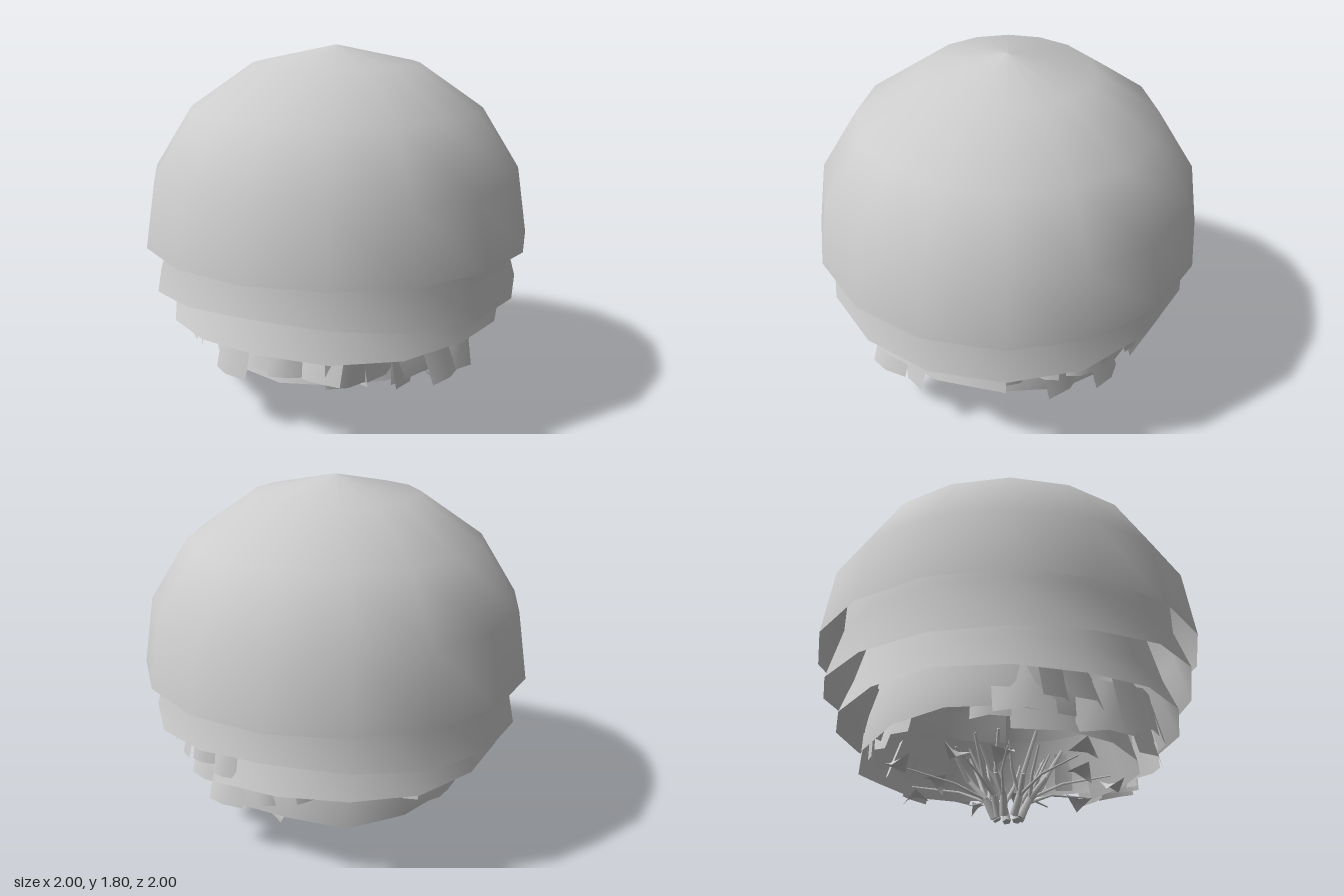
import * as THREE from 'three';

const foliage = new THREE.MeshStandardMaterial({ color: 0xcccccc, side: THREE.DoubleSide });
foliage.name = 'plain grey';

const STEP = Math.PI / 8; // sixteen sides per full turn

function makeRandom(seed) {
  let s = seed;
  return () => {
    s = (s * 16807) % 2147483647;
    return s / 2147483647;
  };
}

// Open shell of revolution; segment 0 faces the front. hem() gives the lower edge height.
function shell(name, profile, first, count, hem) {
  const pts = profile.map(([r, y]) => new THREE.Vector2(r, y));
  const geo = new THREE.LatheGeometry(pts, count, first * STEP, count * STEP);
  if (hem) {
    const pos = geo.attributes.position;
    for (let i = 0; i <= count; i++) pos.setY(i * pts.length, hem(first + i));
  }
  const mesh = new THREE.Mesh(geo, foliage);
  mesh.name = name;
  return mesh;
}

// Hanging leaf strip, turned about the vertical and leaned outward
function flap(name, phi, r, top, width, height, twist, lean) {
  const geo = new THREE.PlaneGeometry(width, height, 2, 1);
  const pos = geo.attributes.position;
  for (let i = 0; i < pos.count; i++) pos.setZ(i, -Math.abs(pos.getX(i)) * 0.3);
  geo.translate(0, -height / 2, 0);
  geo.computeVertexNormals();
  const mesh = new THREE.Mesh(geo, foliage);
  mesh.name = name;
  mesh.position.set(r * Math.sin(phi), top, r * Math.cos(phi));
  mesh.rotation.set(lean, phi + twist, 0, 'YXZ');
  return mesh;
}

// Tapered twig running through a list of points
function twig(name, points, r0, r1) {
  const group = new THREE.Group();
  group.name = name;
  const n = points.length - 1;
  for (let i = 0; i < n; i++) {
    const dir = points[i + 1].clone().sub(points[i]);
    const a = THREE.MathUtils.lerp(r0, r1, i / n);
    const b = THREE.MathUtils.lerp(r0, r1, (i + 1) / n);
    const mesh = new THREE.Mesh(new THREE.CylinderGeometry(b, a, dir.length(), 5), foliage);
    mesh.name = name + 'Segment';
    mesh.position.copy(points[i]).addScaledVector(dir, 0.5);
    mesh.quaternion.setFromUnitVectors(new THREE.Vector3(0, 1, 0), dir.normalize());
    group.add(mesh);
  }
  return group;
}

const polar = (phi, r, y) => new THREE.Vector3(r * Math.sin(phi), y, r * Math.cos(phi));

export function createModel() {
  const model = new THREE.Group();
  model.name = 'shrub';
  const rand = makeRandom(4217);
  const spread = (a, b) => a + (b - a) * rand();

  // Outer crown and the slightly smaller crown nested in it
  model.add(shell('outerCrown',
    [[1, 0.82], [0.945, 1.165], [0.75, 1.475], [0.425, 1.7], [0, 1.79]], 0, 16));
  model.add(shell('innerCrown',
    [[0.955, 0.58], [0.88, 0.85], [0.87, 1.14], [0.7, 1.44], [0.4, 1.66], [0, 1.75]], 0, 16,
    (i) => 0.575 + 0.075 * Math.abs(Math.cos(i * STEP)) ** 5));

  // Middle skirt, with a gap on the back left
  model.add(shell('middleSkirt',
    [[0.875, 0.44], [0.81, 0.6], [0.74, 0.85]], 7, 14,
    (i) => 0.435 + 0.012 * Math.sin(i * 1.7)));
  for (let i = 0; i < 5; i++) {
    model.add(flap('gapStrip', (5.1 + i * 0.5) * STEP, 0.83, 0.66,
      0.13, spread(0.15, 0.23), spread(-0.7, 0.7), -0.2));
  }

  // Lower skirt, open towards the front
  const lowerHem = [0.26, 0.22, 0.25, 0.29, 0.31, 0.3, 0.27, 0.25];
  model.add(shell('lowerSkirt',
    [[0.745, 0.27], [0.735, 0.42], [0.68, 0.62]], 2, 12,
    (i) => lowerHem[i % 8]));

  // Low inner fringe behind it
  model.add(shell('frontFringe',
    [[0.66, 0.21], [0.63, 0.32], [0.58, 0.5]], -3, 6,
    (i) => 0.215 + 0.02 * Math.abs(Math.sin(i * 2.3))));

  // Ragged strips all around, denser at the front
  for (let i = 0; i < 14; i++) {
    const phi = (i / 13 - 0.5) * 2.6;
    model.add(flap('frontStrip', phi, spread(0.68, 0.76), spread(0.5, 0.56),
      spread(0.16, 0.3), spread(0.2, 0.28), spread(-0.8, 0.8), spread(-0.4, -0.05)));
  }
  for (let i = 0; i < 12; i++) {
    const phi = 1.4 + (i / 11) * 3.5;
    model.add(flap('backStrip', phi, spread(0.66, 0.74), spread(0.48, 0.58),
      spread(0.12, 0.24), spread(0.16, 0.24), spread(-0.9, 0.9), spread(-0.35, 0)));
  }

  // Stems splaying from the ground, each with a fork and a low side twig
  for (let i = 0; i < 9; i++) {
    const phi = (i + spread(-0.25, 0.25)) * Math.PI * 2 / 9;
    const base = polar(phi, 0.065, 0);
    const knee = polar(phi + 0.1, 0.11, 0.09);
    const fork = polar(phi, spread(0.16, 0.2), 0.18);
    model.add(twig('stem', [base, knee, fork,
      polar(phi + 0.15, spread(0.24, 0.3), spread(0.3, 0.38))], 0.022, 0.008));
    model.add(twig('forkTwig', [knee, polar(phi - 0.3, 0.15, 0.2),
      polar(phi - 0.4, 0.21, 0.33)], 0.012, 0.005));
    model.add(twig('sideTwig', [knee, polar(phi + 0.2, 0.27, 0.16),
      polar(phi + 0.3, spread(0.48, 0.6), 0.205)], 0.009, 0.004));
  }

  // Small curled leaves under the crown
  for (let i = 0; i < 11; i++) {
    const geo = new THREE.PlaneGeometry(0.1, 0.1, 2, 2);
    const pos = geo.attributes.position;
    for (let k = 0; k < pos.count; k++) pos.setZ(k, 12 * pos.getX(k) * pos.getY(k));
    geo.computeVertexNormals();
    const leaf = new THREE.Mesh(geo, foliage);
    leaf.name = 'lowLeaf';
    const phi = (i + spread(-0.2, 0.2)) * Math.PI * 2 / 11;
    leaf.position.copy(polar(phi, i % 3 ? spread(0.5, 0.6) : spread(0.3, 0.42), spread(0.18, 0.21)));
    leaf.rotation.set(-Math.PI / 2 + spread(-0.4, 0.4), spread(-0.4, 0.4), phi);
    model.add(leaf);
  }

  return model;
}
